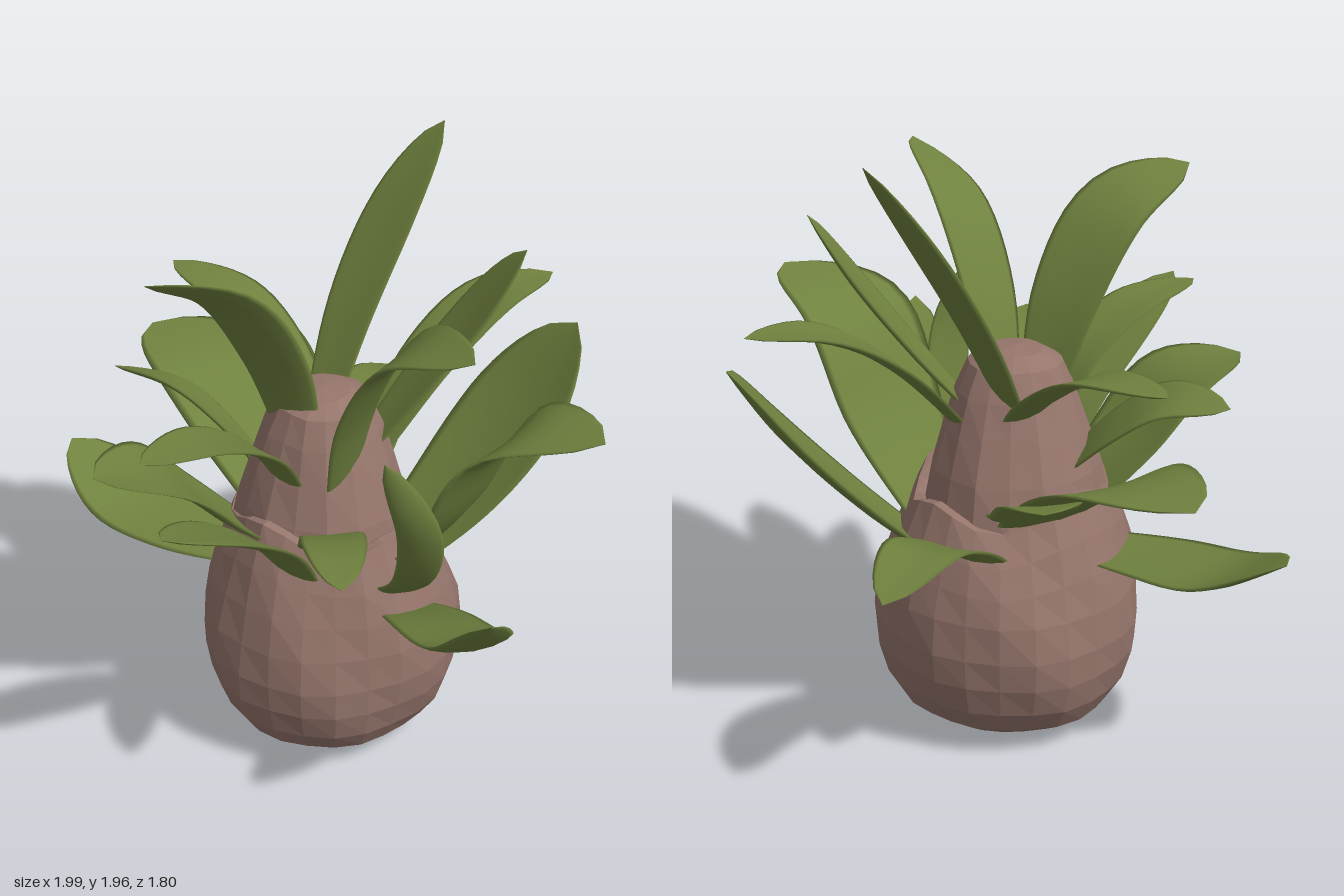
import * as THREE from 'three';

const leafGreen = new THREE.MeshStandardMaterial({ color: 0x70823f, side: THREE.DoubleSide });
leafGreen.name = 'leaf green';
const bulbBrown = new THREE.MeshStandardMaterial({ color: 0x96766c, flatShading: true, side: THREE.DoubleSide });
bulbBrown.name = 'bulb brown';

const V = (p) => new THREE.Vector3(...p);

// Thin, lens-section blade swept along a curve; roll tips it about its length
function leafGeometry(path, width, roll = 0) {
  const curve = new THREE.CatmullRomCurve3(path.map(V));
  const rows = 18, sides = 12, pos = [], idx = [];
  const a = path[0], b = path[path.length - 1];
  const out = new THREE.Vector3(b[0] - a[0], 0, b[2] - a[2]).normalize();
  const across = new THREE.Vector3(0, 1, 0).cross(out);
  for (let i = 0; i <= rows; i++) {
    const t = i / rows;
    const p = curve.getPointAt(t), tan = curve.getTangentAt(t);
    const side = across.clone().addScaledVector(tan, -across.dot(tan)).normalize().applyAxisAngle(tan, roll);
    const normal = tan.clone().cross(side);
    const u = THREE.MathUtils.clamp((t - 0.58) / 0.42, 0, 1);
    const taper = t < 0.58 ? 0.55 + 0.45 * Math.sin((t / 0.58) * Math.PI / 2)
      : Math.pow(Math.max(0, 1 - u * u), 0.65);
    const half = Math.max(0.002, width / 2 * taper);
    const thick = 0.012 * Math.min(1, taper + 0.1);
    for (let j = 0; j < sides; j++) {
      const q = j / sides * Math.PI * 2, c = Math.cos(q);
      const v = p.clone().addScaledVector(side, c * half)
        .addScaledVector(normal, Math.sin(q) * thick + c * c * half * 0.14);
      pos.push(v.x, v.y, v.z);
      if (i === rows) continue;
      const k = (j + 1) % sides, r = i * sides, s = r + sides;
      idx.push(r + j, r + k, s + j, r + k, s + k, s + j);
    }
  }
  const g = new THREE.BufferGeometry();
  g.setAttribute('position', new THREE.Float32BufferAttribute(pos, 3));
  g.setIndex(idx);
  g.computeVertexNormals();
  return g;
}

// Lathed body made slightly lumpy by a periodic rule; a rim gets a wavy edge
function lumpyLathe(profile, segments, cx, cz, rim) {
  const g = new THREE.LatheGeometry(profile.map(([r, y]) => new THREE.Vector2(r, y)), segments);
  const p = g.attributes.position;
  for (let i = 0; i < p.count; i++) {
    const x = p.getX(i), y = p.getY(i), z = p.getZ(i), q = Math.atan2(x, z);
    const f = 1 + 0.018 * Math.sin(3 * q + 4 * y) + 0.014 * Math.sin(7 * q + 9 * y);
    const lift = rim && y > 0.5 ? (y - 0.5) / 0.36 * (0.04 * Math.cos(q) + 0.035 * Math.cos(4 * q) - 0.035) : 0;
    p.setXYZ(i, x * f + cx, y + lift, z * f + cz);
  }
  const flat = g.toNonIndexed();
  flat.computeVertexNormals();
  return flat;
}

// Each leaf: path from base to tip, width, roll
const lowerLeaves = [
  [[[-0.15, 0.62, -0.22], [-0.28, 0.8, -0.5], [-0.38, 0.88, -0.7], [-0.46, 0.82, -0.9]], 0.27],
  [[[-0.15, 0.68, -0.05], [-0.42, 0.88, -0.13], [-0.68, 1.04, -0.18], [-1, 1.08, -0.2]], 0.48],
  [[[-0.2, 0.62, 0.08], [-0.5, 0.63, 0.16], [-0.75, 0.66, 0.19], [-1, 0.79, 0.2]], 0.37],
  [[[-0.15, 0.72, 0.12], [-0.2, 0.92, 0.32], [-0.25, 1.1, 0.5], [-0.32, 1.16, 0.7]], 0.42],
  [[[0.08, 0.7, 0.2], [0.13, 0.95, 0.4], [0.16, 1.12, 0.62], [0.19, 1.27, 0.9]], 0.25],
  [[[0.22, 0.52, -0.1], [0.5, 0.69, 0.08], [0.8, 0.84, 0.25], [0.99, 1.09, 0.4]], 0.27],
  [[[0.2, 0.65, -0.15], [0.42, 0.95, -0.17], [0.6, 1.27, -0.19], [0.9, 1.37, -0.23]], 0.46],
  [[[0.08, 0.58, -0.25], [0.18, 0.8, -0.48], [0.26, 1.05, -0.7], [0.32, 1.3, -0.87]], 0.48],
];
const middleLeaves = [
  [[[-0.15, 0.78, -0.15], [-0.38, 0.87, -0.28], [-0.55, 0.99, -0.38], [-0.73, 1.08, -0.53]], 0.26],
  [[[-0.15, 0.85, 0.03], [-0.38, 1.08, 0.1], [-0.52, 1.18, 0.16], [-0.72, 1.2, 0.23]], 0.19, 0.45],
  [[[-0.03, 0.95, 0.12], [-0.02, 1.18, 0.28], [-0.04, 1.3, 0.48], [-0.06, 1.34, 0.74]], 0.22],
  [[[0.08, 0.78, 0.15], [0.23, 0.96, 0.24], [0.39, 1.08, 0.39], [0.59, 1.12, 0.58]], 0.2],
  [[[0.25, 0.65, 0.02], [0.48, 0.86, 0.13], [0.58, 1.13, 0.23], [0.53, 1.4, 0.33]], 0.14],
  [[[0.03, 0.98, -0.15], [0.08, 1.27, -0.42], [0.13, 1.41, -0.65], [0.2, 1.44, -0.88]], 0.25],
];
const upperLeaves = [
  [[[-0.12, 1.05, -0.1], [-0.32, 1.21, -0.16], [-0.55, 1.34, -0.18], [-0.86, 1.38, -0.18]], 0.21],
  [[[-0.07, 1.08, 0.05], [-0.08, 1.42, 0.16], [-0.12, 1.68, 0.32], [-0.21, 1.8, 0.55]], 0.27, 0.5],
  [[[0.1, 0.95, 0.04], [0.24, 1.36, 0.09], [0.43, 1.64, 0.12], [0.74, 1.76, 0.2]], 0.25, 0.35],
  [[[0.06, 1.05, -0.12], [0.15, 1.27, -0.28], [0.26, 1.5, -0.42], [0.36, 1.71, -0.52]], 0.24],
  [[[-0.13, 1.05, -0.1], [-0.16, 1.4, -0.3], [-0.14, 1.7, -0.48], [-0.08, 1.97, -0.64]], 0.22],
];

export function createModel() {
  const model = new THREE.Group();
  const add = (name, geometry, material, parent = model) => {
    const mesh = new THREE.Mesh(geometry, material);
    mesh.name = name;
    parent.add(mesh);
  };

  // Outer bulb with a wavy rim, and the core rising out of it
  add('outerBulb', lumpyLathe([[0, 0.01], [0.14, 0.015], [0.26, 0.05], [0.34, 0.1], [0.39, 0.18], [0.42, 0.28],
    [0.43, 0.38], [0.42, 0.5], [0.395, 0.62], [0.36, 0.74], [0.31, 0.87], [0.28, 0.87], [0.2, 0.8]],
  24, -0.025, -0.045, true), bulbBrown);
  add('bulbCore', lumpyLathe([[0.32, 0.6], [0.3, 0.75], [0.27, 0.9], [0.23, 1.03], [0.19, 1.15],
    [0.15, 1.24], [0.09, 1.275], [0, 1.285]], 16, -0.04, -0.03, false), bulbBrown);

  // Three tiers of leaves
  const tiers = { lowerLeaf: lowerLeaves, middleLeaf: middleLeaves, upperLeaf: upperLeaves };
  for (const [name, list] of Object.entries(tiers)) {
    const tier = new THREE.Group();
    tier.name = name + 'Tier';
    list.forEach((leaf, i) => add(name + (i + 1), leafGeometry(...leaf), leafGreen, tier));
    model.add(tier);
  }
  return model;
}
